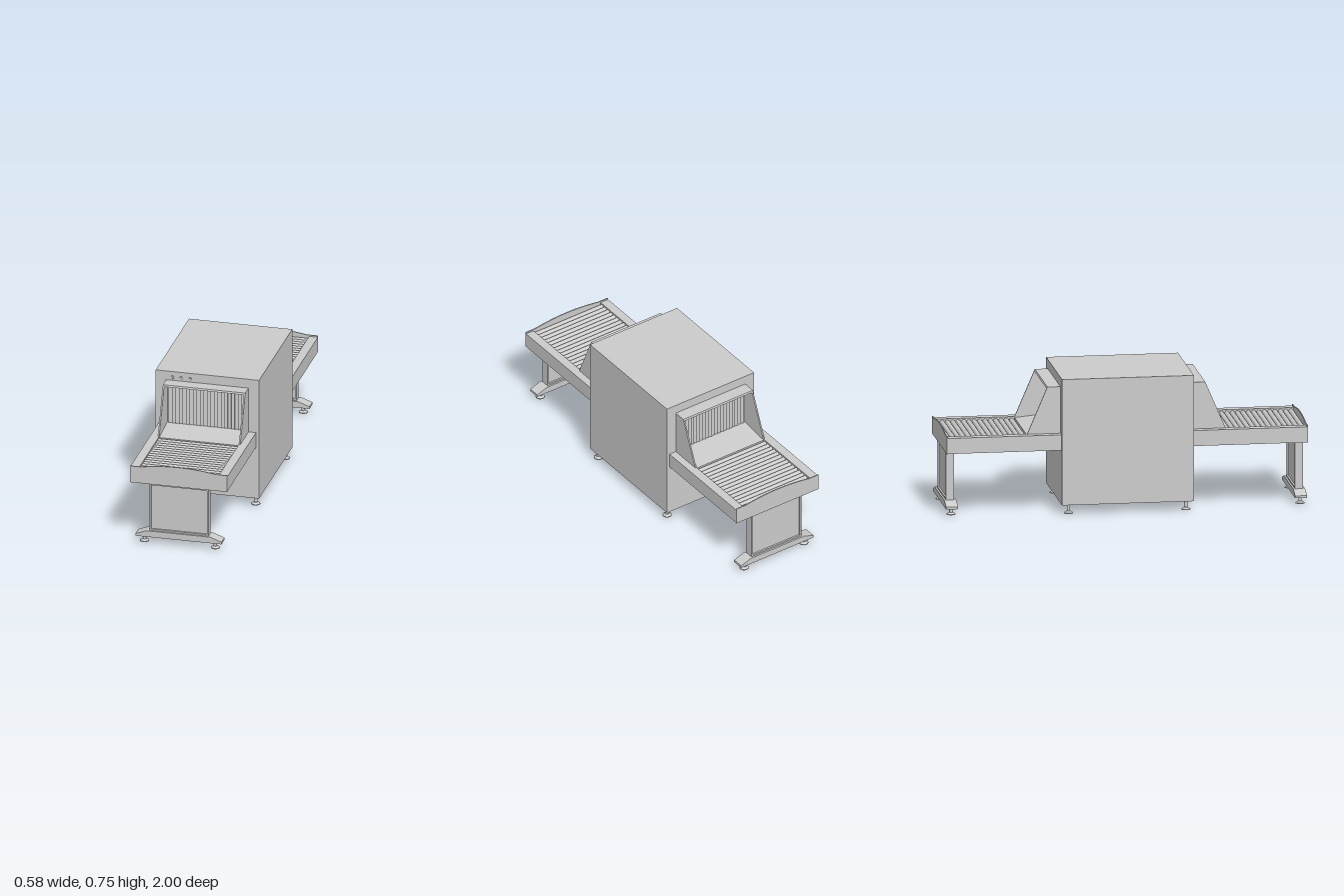
import * as THREE from 'three';

const grey = new THREE.MeshStandardMaterial({ color: 0xcccccc });

function add(parent, name, geometry, x = 0, y = 0, z = 0) {
  const mesh = new THREE.Mesh(geometry, grey);
  mesh.name = name;
  mesh.position.set(x, y, z);
  parent.add(mesh);
  return mesh;
}

// Box given by its limits on each axis
function block(parent, name, [x0, x1], [y0, y1], [z0, z1]) {
  return add(parent, name, new THREE.BoxGeometry(x1 - x0, y1 - y0, z1 - z0),
    (x0 + x1) / 2, (y0 + y1) / 2, (z0 + z1) / 2);
}

function extrude(shape, depth) {
  return new THREE.ExtrudeGeometry(shape, { depth, bevelEnabled: false, curveSegments: 16 });
}

const polygon = (pts) => new THREE.Shape(pts.map(([x, y]) => new THREE.Vector2(x, y)));

// Profile in (z, y), extruded across x from x0 to x1
function across(parent, name, pts, x0, x1) {
  const geo = extrude(polygon(pts.map(([z, y]) => [-z, y])), x1 - x0);
  geo.rotateY(Math.PI / 2);
  return add(parent, name, geo, x0);
}

// Levelling foot: flared pad and stem
function levellingFoot(parent, x, z, top) {
  const foot = new THREE.Group();
  foot.name = 'levellingFoot';
  foot.position.set(x, 0, z);
  add(foot, 'footPad', new THREE.CylinderGeometry(0.025, 0.025, 0.004, 24), 0, 0.002);
  add(foot, 'footFlare', new THREE.CylinderGeometry(0.013, 0.024, 0.009, 24), 0, 0.0085);
  add(foot, 'footStem', new THREE.CylinderGeometry(0.0095, 0.0095, top - 0.012, 20), 0, (top + 0.012) / 2);
  parent.add(foot);
}

// Roller table running out from z = 0.36 to z = 1
function rollerTable(parent) {
  const table = new THREE.Group();
  table.name = 'rollerTable';
  parent.add(table);
  block(table, 'tableBed', [-0.23, 0.23], [0.355, 0.405], [0.36, 0.994]);
  for (const s of [-1, 1]) {
    const rail = block(table, 'sideRail', [0.225, 0.275], [0.355, 0.442], [0.36, 0.995]);
    rail.position.x *= s;
  }

  // End plate with an arched top edge
  const end = new THREE.Shape();
  end.moveTo(-0.275, 0.353);
  end.lineTo(0.275, 0.353);
  end.lineTo(0.275, 0.45);
  end.lineTo(0.21, 0.45);
  end.quadraticCurveTo(0, 0.487, -0.21, 0.45);
  end.lineTo(-0.275, 0.45);
  add(table, 'endPlate', extrude(end, 0.006), 0, 0, 0.994);

  // Rollers lying across the bed
  const roller = new THREE.CylinderGeometry(0.0135, 0.0135, 0.45, 16).rotateZ(Math.PI / 2);
  const count = 15;
  for (let i = 0; i < count; i++) {
    add(table, 'roller', roller, 0, 0.422, 0.566 + i * 0.0296);
  }

  // Slide plate from the curtain down to the rollers
  across(table, 'slidePlate', [[0.36, 0.4], [0.55, 0.4], [0.55, 0.436], [0.36, 0.455]], -0.225, 0.225);
}

// Hood with sloping cheeks around the opening
function hood(parent) {
  const group = new THREE.Group();
  group.name = 'hood';
  parent.add(group);
  const cheek = [[0.36, 0.44], [0.55, 0.44], [0.437, 0.703], [0.36, 0.703]];
  across(group, 'hoodCheek', cheek, 0.225, 0.233);
  across(group, 'hoodCheek', cheek, -0.233, -0.225);
  across(group, 'hoodTop', [[0.36, 0.693], [0.441, 0.693], [0.437, 0.703], [0.36, 0.703]], -0.225, 0.225);
}

// Hanging strips, each turned a little about its upright axis
function curtain(parent, turn) {
  const group = new THREE.Group();
  group.name = 'curtain';
  parent.add(group);
  const strip = new THREE.BoxGeometry(0.0215, 0.24, 0.002);
  const count = 22;
  for (let i = 0; i < count; i++) {
    const mesh = add(group, 'curtainStrip', strip, -0.206 + i * 0.01965, 0.56, 0.372);
    mesh.rotation.y = turn;
  }
}

// Panelled leg frame standing on a spreader foot
function supportLeg(parent) {
  const leg = new THREE.Group();
  leg.name = 'supportLeg';
  parent.add(leg);
  const frame = polygon([[-0.167, 0.07], [0.167, 0.07], [0.167, 0.357], [-0.167, 0.357]]);
  frame.holes.push(new THREE.Path([[-0.158, 0.082], [-0.158, 0.343], [0.158, 0.343], [0.158, 0.082]]
    .map(([x, y]) => new THREE.Vector2(x, y))));
  add(leg, 'legFrame', extrude(frame, 0.046), 0, 0, 0.943);
  block(leg, 'legPanel', [-0.16, 0.16], [0.08, 0.345], [0.953, 0.979]);
  const spreader = polygon([[-0.243, 0.037], [0.243, 0.037], [0.243, 0.05],
    [0.18, 0.073], [-0.18, 0.073], [-0.243, 0.05]]);
  add(leg, 'legSpreader', extrude(spreader, 0.066), 0, 0, 0.933);
  for (const x of [-0.2, 0.2]) levellingFoot(leg, x, 0.966, 0.04);
}

export function createModel() {
  const model = new THREE.Group();
  model.name = 'baggageScanner';

  // Main cabinet and its feet
  block(model, 'cabinet', [-0.292, 0.292], [0.05, 0.755], [-0.365, 0.365]);
  for (const x of [-0.263, 0.263]) {
    for (const z of [-0.325, 0.325]) levellingFoot(model, x, z, 0.052);
  }

  // Entry and exit ends; strips lean the same way in x at both
  for (const [name, angle, turn] of [['entryEnd', 0, 0.42], ['exitEnd', Math.PI, -0.42]]) {
    const end = new THREE.Group();
    end.name = name;
    end.rotation.y = angle;
    rollerTable(end);
    hood(end);
    curtain(end, turn);
    supportLeg(end);
    model.add(end);
  }

  // Push buttons above the entry
  for (const x of [-0.197, -0.148, -0.098]) {
    add(model, 'buttonCollar', new THREE.TorusGeometry(0.0072, 0.002, 10, 24), x, 0.722, 0.367);
    add(model, 'button', new THREE.CylinderGeometry(0.006, 0.006, 0.008, 20).rotateX(Math.PI / 2), x, 0.722, 0.367);
  }
  return model;
}
